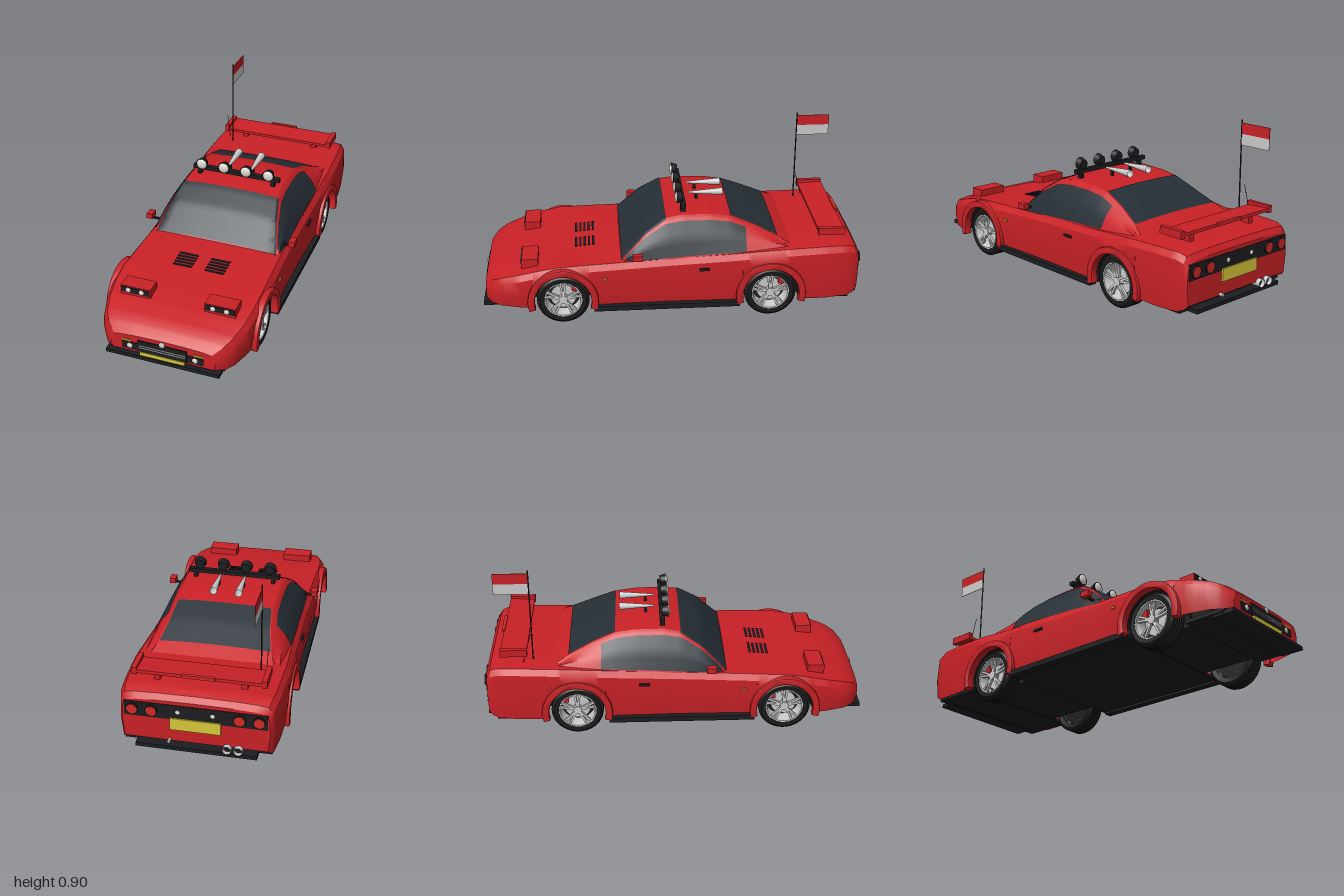
import * as THREE from 'three';
import { toCreasedNormals } from 'three/addons/utils/BufferGeometryUtils.js';

const mat = (color, double) => new THREE.MeshStandardMaterial({ color, side: double ? THREE.DoubleSide : THREE.FrontSide });
const red = mat(0xc92126, true), black = mat(0x1c1d20, true), glass = mat(0x262f36, true), silver = mat(0xcccccc, true),
  lamp = mat(0xe0ddd2), yellow = mat(0xd6c63a), orange = mat(0xd09030), tyre = mat(0x1b1b1b, true), tail = mat(0xd02a24);

// Body stations: z, half width, shoulder height, centre height, bottom height
const BODY = [
  [-0.975, 0.362, 0.345, 0.36, 0.135], [-0.955, 0.376, 0.375, 0.388, 0.115], [-0.92, 0.384, 0.388, 0.4, 0.1],
  [-0.8, 0.395, 0.39, 0.402, 0.095], [-0.6, 0.402, 0.385, 0.398, 0.1], [-0.3, 0.393, 0.365, 0.378, 0.1],
  [0, 0.388, 0.35, 0.365, 0.1], [0.26, 0.39, 0.338, 0.35, 0.1], [0.45, 0.397, 0.332, 0.334, 0.1],
  [0.6, 0.402, 0.325, 0.32, 0.1], [0.7, 0.398, 0.308, 0.308, 0.1], [0.8, 0.385, 0.282, 0.295, 0.1],
  [0.9, 0.355, 0.252, 0.268, 0.1], [0.95, 0.322, 0.228, 0.243, 0.1], [0.985, 0.275, 0.195, 0.21, 0.11]];
// Cabin stations: z, roof height, roof half width, base half width, base height
const CABIN = [
  [-0.62, 0.392, 0.33, 0.342, 0.38], [-0.55, 0.425, 0.305, 0.352, 0.378], [-0.42, 0.487, 0.278, 0.362, 0.365],
  [-0.3, 0.535, 0.265, 0.367, 0.355], [-0.2, 0.549, 0.265, 0.367, 0.35], [-0.05, 0.552, 0.268, 0.367, 0.34],
  [0.04, 0.538, 0.275, 0.367, 0.335], [0.15, 0.468, 0.302, 0.362, 0.33], [0.275, 0.342, 0.34, 0.347, 0.325]];
const AXLES = [0.58, -0.51], HUB = 0.137, ARCH = 0.155, CHORD = 0.1505;

function row(table, z) {
  const i = Math.max(1, Math.min(table.length - 1, table.findIndex(r => r[0] >= z)));
  const a = table[i - 1], b = table[i], k = (z - a[0]) / (b[0] - a[0]);
  return a.map((v, j) => v + (b[j] - v) * k);
}
// Half sections run from the centre line (t = 0) down to the bottom edge (t = 1)
function along(pts, t) {
  const s = Math.abs(t) * (pts.length - 1), i = Math.min(pts.length - 2, Math.floor(s)), k = s - i;
  return [(pts[i][0] + (pts[i + 1][0] - pts[i][0]) * k) * Math.sign(t), pts[i][1] + (pts[i + 1][1] - pts[i][1]) * k];
}
function bodyAt(z, t) {
  let [, w, sh, top, yb] = row(BODY, z);
  for (const c of AXLES) if (Math.abs(z - c) < CHORD) yb = HUB + Math.sqrt(ARCH ** 2 - (z - c) ** 2);
  const hip = Math.max(sh - 0.03, yb + 0.004);
  return along([[0, top], [w * 0.5, top - 0.002], [w * 0.8, (top + sh) / 2], [w * 0.93, sh],
    [w * 0.985, hip], [w, yb + (hip - yb) * 0.5], [w * 0.97, yb]], t);
}
function cabinAt(z, t) {
  const [, y, w, wb, yb] = row(CABIN, z);
  return along([[0, y + 0.006], [w * 0.5, y + 0.004], [w - 0.015, y - 0.003], [w, y - 0.014],
    [(w + wb) / 2 + 0.008, (y + yb) / 2], [wb, yb]], t);
}
// Surface over z rows and section parameters
function skin(zs, ts, at, lift = 0, crease = 0.5) {
  const pos = [], idx = [], n = ts.length;
  zs.forEach((z, i) => ts.forEach((t, j) => {
    const [x, y] = at(z, t);
    pos.push(x + Math.sign(t) * lift * Math.abs(t), y + lift, z);
    if (i && j) {
      const a = (i - 1) * n + j - 1, b = i * n + j - 1;
      idx.push(a, b, a + 1, b, b + 1, a + 1);
    }
  }));
  const g = new THREE.BufferGeometry();
  g.setAttribute('position', new THREE.Float32BufferAttribute(pos, 3));
  g.setIndex(idx);
  return toCreasedNormals(g, crease);
}
const range = (a, b, n) => Array.from({ length: n + 1 }, (_, i) => a + (b - a) * i / n);

export function createModel() {
  const car = new THREE.Group();
  car.name = 'car';
  const add = (name, geo, m, x = 0, y = 0, z = 0, parent = car) => {
    const o = new THREE.Mesh(geo, m);
    o.name = name;
    o.position.set(x, y, z);
    parent.add(o);
    return o;
  };
  // Box given by its limits
  const box = (name, m, x0, x1, y0, y1, z0, z1, parent) => add(name, new THREE.BoxGeometry(Math.abs(x1 - x0), y1 - y0, Math.abs(z1 - z0)),
    m, (x0 + x1) / 2, (y0 + y1) / 2, (z0 + z1) / 2, parent);
  const rod = (name, m, r0, r1, len, x, y, z, n = 20) => add(name, new THREE.CylinderGeometry(r1, r0, len, n).rotateX(Math.PI / 2), m, x, y, z);
  const dome = (name, m, r, x, y, z, depth = 0.4) => add(name, new THREE.SphereGeometry(r, 20, 12).scale(1, 1, depth), m, x, y, z);

  // Body shell with wheel openings
  const zs = BODY.map(r => r[0]).concat(range(-0.97, 0.98, 40));
  for (const c of AXLES) {
    for (const s of [-1, 1]) zs.push(c + s * (CHORD + 0.0003), c + s * (CHORD - 0.0001));
    for (const a of range(0.2, Math.PI - 0.2, 18)) zs.push(c + CHORD * Math.cos(a));
  }
  zs.sort((a, b) => a - b);
  const ts = range(-1, 1, 12);
  add('body', skin(zs, ts, bodyAt), red);
  for (const z of [-0.975, 0.985]) {
    const face = new THREE.Shape(ts.map(t => new THREE.Vector2(...bodyAt(z, t))));
    add(z > 0 ? 'noseFace' : 'tailFace', new THREE.ShapeGeometry(face), red, 0, 0, z);
  }

  // Cabin and windows
  add('cabin', skin(range(-0.62, 0.275, 60), range(-1, 1, 20), cabinAt), red);
  add('windscreen', skin(range(0.035, 0.272, 14), range(-0.56, 0.56, 16), cabinAt, 0.004), glass);
  add('rearWindow', skin(range(-0.55, -0.305, 10), range(-0.39, 0.39, 12), cabinAt, 0.004), glass);
  for (const s of [-1, 1]) add('sideWindow', skin(range(-0.38, 0.245, 24), range(0.635, 0.97, 6).map(t => t * s), cabinAt, 0.004), glass);

  // Underside
  box('chassis', black, -0.26, 0.26, 0.095, 0.25, -0.9, 0.85);
  box('middleFloor', black, -0.375, 0.375, 0.09, 0.11, -0.355, 0.425);
  box('frontFloor', black, -0.31, 0.31, 0.09, 0.11, 0.735, 0.95);
  box('rearFloor', black, -0.365, 0.365, 0.09, 0.11, -0.93, -0.665);
  box('frontSplitter', black, -0.3, 0.3, 0.08, 0.1, 0.88, 1);
  box('rearDiffuser', black, -0.3, 0.3, 0.085, 0.105, -0.985, -0.9);

  // Wheel profile across the tread, with grooves
  const tread = [[0.095, -0.045], [0.122, -0.05], [0.132, -0.044], [0.137, -0.036]];
  for (const c of [-0.024, -0.008, 0.008, 0.024]) tread.push([0.137, c - 0.004], [0.129, c - 0.003], [0.129, c + 0.003], [0.137, c + 0.004]);
  tread.push([0.137, 0.036], [0.132, 0.044], [0.122, 0.05], [0.1, 0.048], [0.095, 0.04]);
  const lathe = pts => toCreasedNormals(new THREE.LatheGeometry(pts.map(p => new THREE.Vector2(...p)), 40).rotateZ(-Math.PI / 2), 0.6);
  const disc = (r, d) => new THREE.CylinderGeometry(r, r, d, 28).rotateZ(Math.PI / 2);
  const tyreGeo = lathe(tread), rimGeo = lathe([[0.088, -0.045], [0.088, 0.03], [0.092, 0.046], [0.099, 0.047]]);

  // Flare ring around each opening
  const ring = new THREE.Shape();
  ring.absarc(0, 0, 0.18, -0.24, Math.PI + 0.24, false);
  ring.absarc(0, 0, 0.152, Math.PI + 0.24, -0.24, true);
  const flareGeo = toCreasedNormals(new THREE.ExtrudeGeometry(ring, { depth: 0.03, curveSegments: 28, bevelSize: 0.004, bevelThickness: 0.006, bevelSegments: 2 })
    .rotateY(-Math.PI / 2).translate(0.015, 0, 0), 0.6);

  for (const z of AXLES) for (const s of [-1, 1]) {
    const w = new THREE.Group();
    w.name = 'wheel';
    w.position.set(0.33 * s, HUB, z);
    if (s < 0) w.rotation.y = Math.PI;
    car.add(w);
    add('tyre', tyreGeo, tyre, 0, 0, 0, w);
    add('rim', rimGeo, silver, 0, 0, 0, w);
    add('wheelBack', disc(0.088, 0.01), black, -0.03, 0, 0, w);
    add('brakeDisc', disc(0.068, 0.008), silver, 0, 0, 0, w);
    box('brakeCaliper', red, 0, 0.02, 0.035, 0.075, -0.06 * s - 0.015, -0.06 * s + 0.015, w);
    add('hub', disc(0.022, 0.03), silver, 0.03, 0, 0, w);
    for (let i = 0; i < 5; i++) for (const k of [-1, 1]) {
      const g = new THREE.BoxGeometry(0.014, 0.08, 0.011).translate(0.034, 0.052, 0).rotateX(k * 0.14 + i * Math.PI * 0.4);
      add('spoke', g, silver, 0, 0, 0, w);
    }
    add('flare', flareGeo, red, 0.39 * s, HUB, z);
    add('archLiner', new THREE.CylinderGeometry(ARCH, ARCH, 0.135, 24, 1, true, 0, Math.PI).rotateZ(Math.PI / 2), black, 0.32 * s, HUB, z);
  }

  // Parts on both sides
  for (const s of [-1, 1]) {
    box('sideSkirt', black, 0.365 * s, 0.408 * s, 0.078, 0.106, -0.345, 0.42);
    box('mirrorArm', black, 0.335 * s, 0.395 * s, 0.363, 0.371, 0.185, 0.2);
    box('mirror', red, 0.387 * s, 0.42 * s, 0.368, 0.398, 0.165, 0.215);
    box('doorHandle', black, 0.385 * s, 0.397 * s, 0.288, 0.3, -0.185, -0.13);
    box('sideIndicator', orange, 0.39 * s, 0.399 * s, 0.253, 0.265, 0.35, 0.37);
    box('rearWheelCover', red, 0.305 * s, 0.33 * s, 0.44, 0.478, -0.9, -0.76).name = 'wingEndPlate';
    box('wingSupport', red, 0.2 * s, 0.23 * s, 0.39, 0.45, -0.86, -0.81);

    // Raised headlights
    box('headlightPod', red, 0.145 * s, 0.305 * s, 0.285, 0.343, 0.705, 0.79);
    box('headlightPanel', black, 0.15 * s, 0.3 * s, 0.307, 0.338, 0.785, 0.794);
    for (const x of [0.19, 0.262]) dome('headlight', lamp, 0.014, x * s, 0.323, 0.795);

    // Bonnet vents
    for (let i = 0; i < 5; i++) {
      const z = 0.415 + i * 0.023;
      box('bonnetVent', black, 0.035 * s, 0.14 * s, 0.325, bodyAt(z, 0)[1] + 0.003, z - 0.006, z + 0.006);
    }

    // Front fog lights and indicators
    box('fogPanel', black, 0.13 * s, 0.215 * s, 0.123, 0.165, 0.95, 0.989);
    dome('fogLight', lamp, 0.015, 0.172 * s, 0.146, 0.99);
    box('indicator', orange, 0.165 * s, 0.215 * s, 0.167, 0.179, 0.95, 0.988);

    // Tail lights
    for (const x of [0.31, 0.215]) {
      rod('tailLightRim', black, 0.031, 0.031, 0.008, x * s, 0.3, -0.982);
      rod('tailLight', tail, 0.026, 0.026, 0.012, x * s, 0.3, -0.983);
    }
    dome('reverseLight', lamp, 0.012, 0.085 * s, 0.305, -0.982);

    // Roof horns opening to the rear
    add('horn', new THREE.CylinderGeometry(0.005, 0.02, 0.185, 20, 1, true).rotateX(Math.PI / 2), silver, 0.066 * s, 0.591, -0.19);
    box('hornFoot', black, 0.06 * s, 0.072 * s, 0.55, 0.588, -0.15, -0.135);
    box('lightBarFoot', black, 0.2 * s, 0.22 * s, 0.54, 0.582, -0.07, -0.045);
  }

  // Nose details
  box('grille', black, -0.13, 0.13, 0.123, 0.187, 0.95, 0.992);
  for (const y of [0.148, 0.16]) box('grilleBar', silver, -0.122, 0.122, y - 0.002, y + 0.002, 0.99, 0.995);
  box('frontPlate', yellow, -0.118, 0.118, 0.103, 0.123, 0.97, 0.996);
  dome('noseBadge', silver, 0.016, 0, 0.193, 0.99);

  // Tail details
  box('tailPanel', black, -0.35, 0.35, 0.26, 0.34, -0.979, -0.96);
  box('rearPlate', yellow, -0.125, 0.125, 0.205, 0.27, -0.986, -0.97);
  for (const x of [-0.21, -0.155]) {
    add('exhaust', new THREE.CylinderGeometry(0.021, 0.021, 0.1, 20, 1, true).rotateX(Math.PI / 2), silver, x, 0.13, -0.95);
    rod('exhaustInside', black, 0.019, 0.019, 0.02, x, 0.13, -0.97);
  }
  rod('towHook', silver, 0.008, 0.008, 0.04, 0.13, 0.14, -0.975);

  // Rear wing
  box('wing', red, -0.31, 0.31, 0.446, 0.462, -0.9, -0.765).rotation.x = 0.06;
  box('brakeLight', tail, -0.08, 0.08, 0.456, 0.472, -0.912, -0.895);

  // Roof light bar
  box('lightBar', black, -0.247, 0.247, 0.579, 0.6, -0.072, -0.045);
  for (const x of [-0.19, -0.063, 0.063, 0.19]) {
    rod('roofLampHousing', black, 0.024, 0.033, 0.032, x, 0.622, -0.043, 24);
    dome('roofLamp', lamp, 0.029, x, 0.622, -0.028);
  }

  // Flag and aerial
  const pole = (name, r, x, y0, z0, y1, z1) => add(name, new THREE.TubeGeometry(new THREE.LineCurve3(
    new THREE.Vector3(x, y0, z0), new THREE.Vector3(x, y1, z1)), 1, r, 8), black);
  pole('flagPole', 0.0035, -0.272, 0.39, -0.735, 0.9, -0.735);
  pole('aerial', 0.0015, -0.305, 0.39, -0.785, 0.56, -0.738);
  box('flagUpper', red, -0.2735, -0.2705, 0.828, 0.885, -0.915, -0.737);
  box('flagLower', silver, -0.2735, -0.2705, 0.77, 0.828, -0.915, -0.737);
  return car;
}
